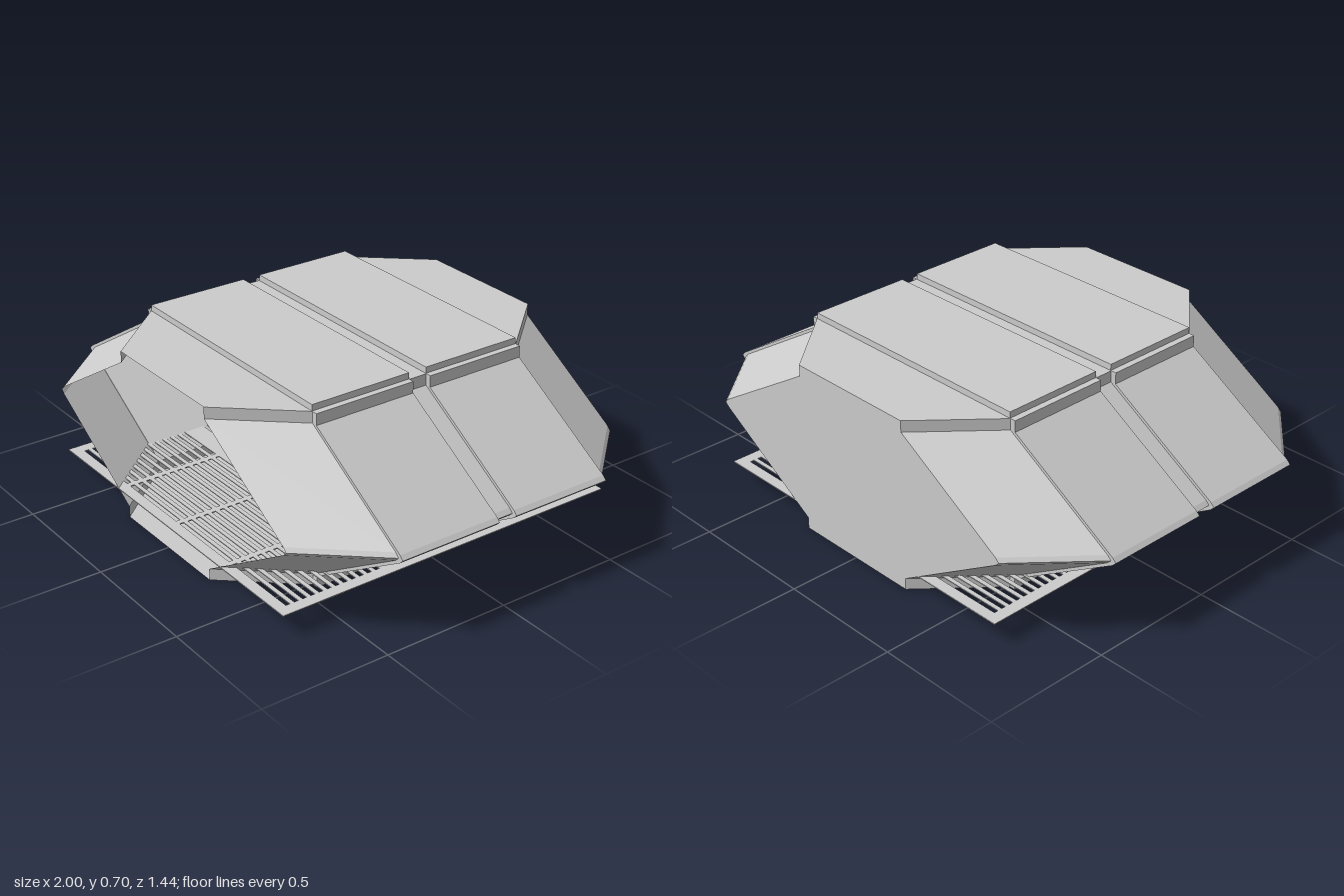
import * as THREE from 'three';

const material = new THREE.MeshStandardMaterial({ color: 0xcccccc, side: THREE.DoubleSide });

const PEAK = 0.47; // how far the side point stands out past the upright edge
const PAD_NEAR = 0.037, PAD_FAR = 0.447;

function part(group, name, geometry) {
  const mesh = new THREE.Mesh(geometry, material);
  mesh.name = name;
  group.add(mesh);
  return mesh;
}

// Right half of the section, bottom to top; w is the half width of the flat top
function halfSection(w, tipExtra = 0) {
  return [
    [w, 0], [w, 0.045], [w + PEAK - 0.015 + tipExtra, 0.325], [w + PEAK + tipExtra, 0.34],
    [w + PEAK - 0.015 + tipExtra, 0.355], [w, 0.632], [w, 0.676],
  ];
}

function ring(w) {
  const half = halfSection(w);
  return [...half, ...half.map(([x, y]) => [-x, y]).reverse()];
}

function shapeOf(points) {
  return new THREE.Shape(points.map(([x, y]) => new THREE.Vector2(x, y)));
}

// Faceted shell lofted through sections along z, open at the front
function shellGeometry(sections) {
  const positions = [], index = [];
  const n = ring(1).length;
  for (const [z, w] of sections) for (const [x, y] of ring(w)) positions.push(x, y, z);
  for (let s = 0; s < sections.length - 1; s++) {
    for (let i = 0; i < n; i++) {
      const j = (i + 1) % n;
      const a = s * n + i, b = s * n + j, c = b + n, d = a + n;
      index.push(a, b, c, a, c, d);
    }
  }
  const indexed = new THREE.BufferGeometry();
  indexed.setAttribute('position', new THREE.Float32BufferAttribute(positions, 3));
  indexed.setIndex(index);
  const geometry = indexed.toNonIndexed();
  geometry.computeVertexNormals();
  return geometry;
}

// Bent plate that wraps one side of the shell
function sidePlateGeometry() {
  const outer = halfSection(0.532);
  const inner = halfSection(0.505).reverse();
  return new THREE.ExtrudeGeometry(shapeOf([...outer, ...inner]), {
    depth: PAD_FAR - PAD_NEAR, bevelEnabled: false,
  });
}

// Square plate pierced by three bands of thin slots
function grilleGeometry() {
  const half = 0.72, bands = 3, rows = 12, columns = 4;
  const shape = shapeOf([[-half, -half], [half, -half], [half, half], [-half, half]]);
  const bandSize = 2 * half / bands, margin = 0.035;
  const pitch = (bandSize - 2 * margin) / rows;
  const columnSize = (2 * half - 2 * margin) / columns;
  for (let b = 0; b < bands; b++) {
    for (let r = 0; r < rows; r++) {
      for (let c = 0; c < columns; c++) {
        const x0 = -half + margin + c * columnSize + 0.012, x1 = x0 + columnSize - 0.024;
        const y0 = -half + b * bandSize + margin + (r + 0.25) * pitch, y1 = y0 + pitch * 0.5;
        const hole = new THREE.Path();
        hole.moveTo(x0, y0).lineTo(x0, y1).lineTo(x1, y1).lineTo(x1, y0).closePath();
        shape.holes.push(hole);
      }
    }
  }
  return new THREE.ExtrudeGeometry(shape, { depth: 0.004, bevelEnabled: false }).rotateX(-Math.PI / 2);
}

export function createModel() {
  const model = new THREE.Group();
  model.name = 'hexagonalModule';

  // Main shell and its closed back
  part(model, 'shell', shellGeometry([[-0.72, 0.27], [-0.447, 0.51], [0.447, 0.51], [0.72, 0.27]]));
  part(model, 'backWall', new THREE.ShapeGeometry(shapeOf(ring(0.27))).rotateY(Math.PI).translate(0, 0, -0.72));

  // Raised plates on the top and sides, with a groove between front and back
  const depth = PAD_FAR - PAD_NEAR, middle = (PAD_FAR + PAD_NEAR) / 2;
  const sidePlate = sidePlateGeometry();
  for (const [end, sign] of [['front', 1], ['back', -1]]) {
    const top = part(model, end + 'TopPlate', new THREE.BoxGeometry(1.015, 0.026, depth));
    top.position.set(0, 0.687, sign * middle);
    for (const [side, turn] of [['Left', 0], ['Right', Math.PI]]) {
      const holder = new THREE.Group();
      holder.name = end + side + 'SidePlate';
      holder.position.z = sign * middle;
      holder.rotation.y = turn;
      part(holder, 'plate', sidePlate).position.z = -depth / 2;
      model.add(holder);
    }
  }

  // Slotted floor that shows past the lower edges
  part(model, 'floorGrille', grilleGeometry()).position.y = 0.085;

  return model;
}
